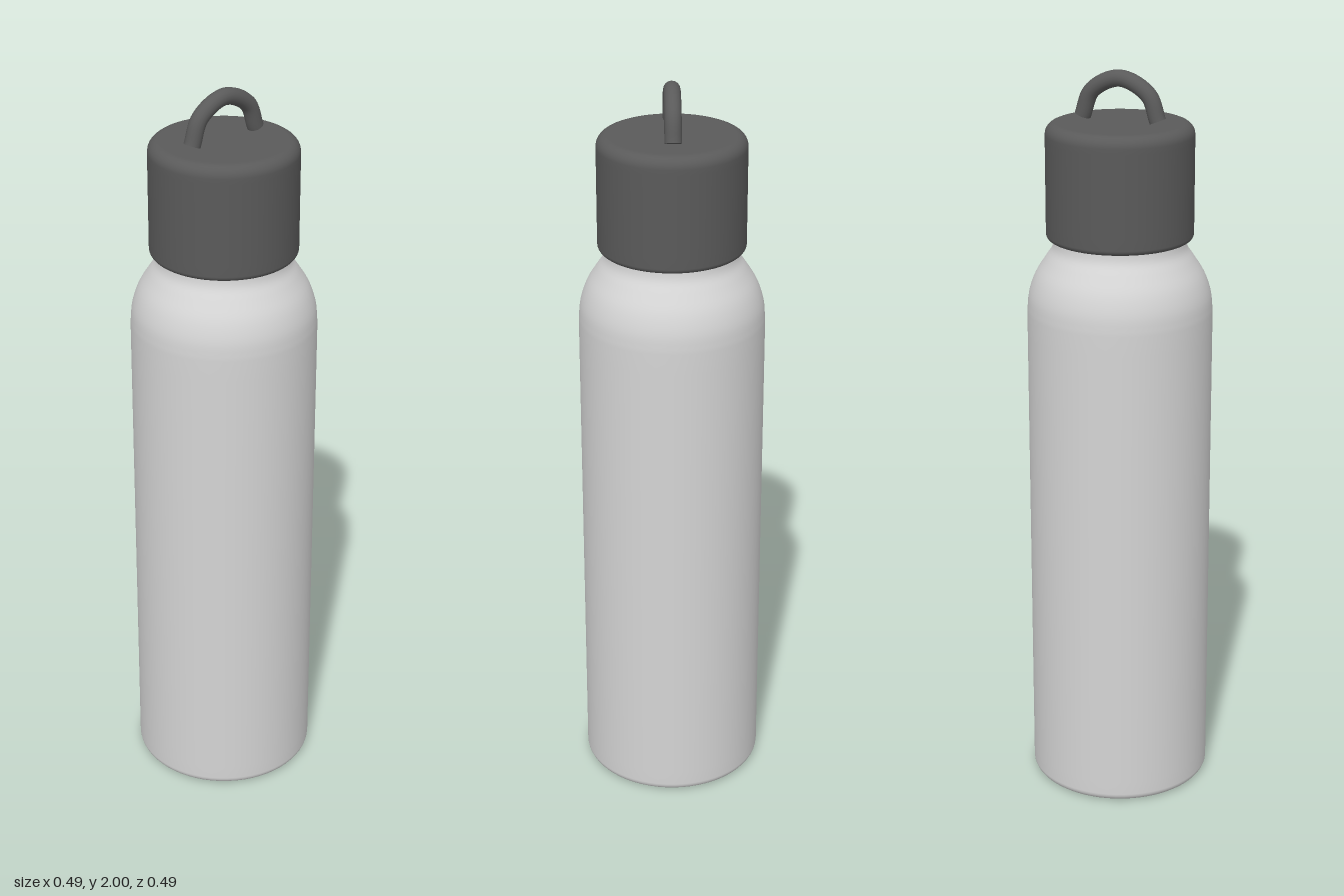
import * as THREE from 'three';

const shell = new THREE.MeshStandardMaterial({ color: 0xd4d4d4 });
shell.name = 'light grey';
const dark = new THREE.MeshStandardMaterial({ color: 0x5a5a5a });
dark.name = 'dark grey';

// Solid of revolution through [radius, height] points
function lathe(name, profile, material) {
  const points = profile.map(([r, y]) => new THREE.Vector2(r, y));
  const mesh = new THREE.Mesh(new THREE.LatheGeometry(points, 64), material);
  mesh.name = name;
  return mesh;
}

// Quarter-round edge points around a centre, from angle a to angle b
function round(cx, cy, r, a, b, steps = 6) {
  return Array.from({ length: steps + 1 }, (_, i) => {
    const t = a + (b - a) * i / steps;
    return [cx + r * Math.cos(t), cy + r * Math.sin(t)];
  });
}

export function createModel() {
  const model = new THREE.Group();
  model.name = 'bottle';
  const q = Math.PI / 2;

  // Body: rounded base edge, straight wall, curved shoulder and neck
  const shoulder = new THREE.CatmullRomCurve3([
    [0.247, 1.36], [0.242, 1.41], [0.225, 1.46], [0.197, 1.505], [0.178, 1.535], [0.172, 1.57],
  ].map(([r, y]) => new THREE.Vector3(r, y, 0))).getPoints(20).map(p => [p.x, p.y]);
  model.add(lathe('body', [
    [0, 0], [0.225, 0], ...round(0.225, 0.022, 0.022, -q, 0),
    [0.247, 0.06], [0.247, 1.3], ...shoulder, [0.172, 1.6],
  ], shell));

  // Lid with softened edges
  model.add(lathe('lid', [
    [0, 1.558], [0.18, 1.558], ...round(0.181, 1.572, 0.014, -q, 0),
    [0.195, 1.6], [0.195, 1.82], ...round(0.165, 1.835, 0.03, 0, q),
    [0.15, 1.865], [0, 1.865],
  ], dark));

  // Carrying loop with closed ends
  const path = new THREE.CatmullRomCurve3([
    [-0.107, 1.875], [-0.08, 1.941], [0, 1.978], [0.08, 1.941], [0.107, 1.875],
  ].map(([x, y]) => new THREE.Vector3(x, y, 0)));
  const handle = new THREE.Group();
  handle.name = 'handle';
  const loop = new THREE.Mesh(new THREE.TubeGeometry(path, 40, 0.022, 16), dark);
  loop.name = 'loop';
  handle.add(loop);
  for (const t of [0, 1]) {
    const end = new THREE.Mesh(new THREE.CircleGeometry(0.022, 16), dark);
    end.name = 'loopEnd';
    end.position.copy(path.getPoint(t));
    const outward = path.getTangent(t).multiplyScalar(t ? 1 : -1);
    end.quaternion.setFromUnitVectors(new THREE.Vector3(0, 0, 1), outward);
    handle.add(end);
  }
  model.add(handle);
  return model;
}
